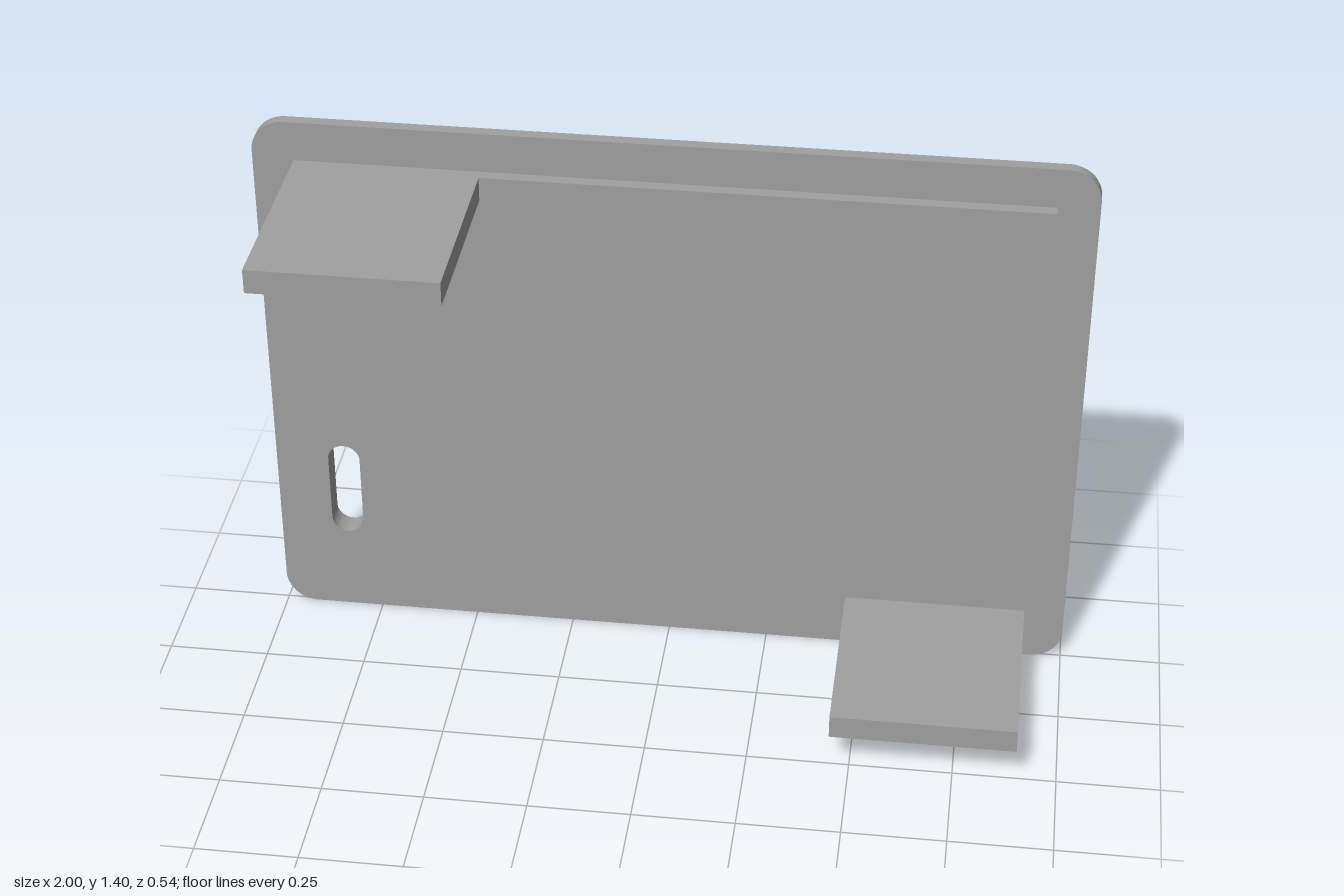
import * as THREE from 'three';
import { toCreasedNormals } from 'three/addons/utils/BufferGeometryUtils.js';

// Trace a rounded rectangle given its edges and corner radius
function roundedRect(path, x0, y0, x1, y1, r) {
  path.moveTo(x0 + r, y0);
  path.lineTo(x1 - r, y0);
  path.absarc(x1 - r, y0 + r, r, -Math.PI / 2, 0);
  path.lineTo(x1, y1 - r);
  path.absarc(x1 - r, y1 - r, r, 0, Math.PI / 2);
  path.lineTo(x0 + r, y1);
  path.absarc(x0 + r, y1 - r, r, Math.PI / 2, Math.PI);
  path.lineTo(x0, y0 + r);
  path.absarc(x0 + r, y0 + r, r, Math.PI, Math.PI * 1.5);
  return path;
}

export function createModel() {
  const model = new THREE.Group();
  model.name = 'coverPlate';
  const grey = new THREE.MeshStandardMaterial({ color: 0xa0a0a0 });
  grey.name = 'plain grey';

  const add = (name, geometry) => {
    const mesh = new THREE.Mesh(geometry, grey);
    mesh.name = name;
    model.add(mesh);
    return mesh;
  };

  // Slab with the finger slot cut through it
  const slab = (name, outline, z, depth) => {
    outline.holes.push(roundedRect(new THREE.Path(), -0.86, 0.25, -0.78, 0.51, 0.04));
    const geometry = new THREE.ExtrudeGeometry(outline, { depth, bevelEnabled: false, curveSegments: 10 });
    add(name, toCreasedNormals(geometry, Math.PI / 6)).position.z = z;
  };

  // Outer plate with rounded corners
  slab('backPlate', roundedRect(new THREE.Shape(), -1, 0, 1, 1.4, 0.08), -0.272, 0.03);

  // Raised inner panel with square corners
  const panel = new THREE.Shape();
  panel.moveTo(-0.9, 0.1);
  panel.lineTo(0.9, 0.1);
  panel.lineTo(0.9, 1.3);
  panel.lineTo(-0.9, 1.3);
  panel.closePath();
  slab('innerPanel', panel, -0.242, 0.03);

  // Tabs at opposite corners, flush with the panel edges
  for (const [name, x, y] of [['upperTab', -0.675, 1.27], ['lowerTab', 0.675, 0.13]]) {
    add(name, new THREE.BoxGeometry(0.45, 0.06, 0.484)).position.set(x, y, 0.03);
  }

  return model;
}
